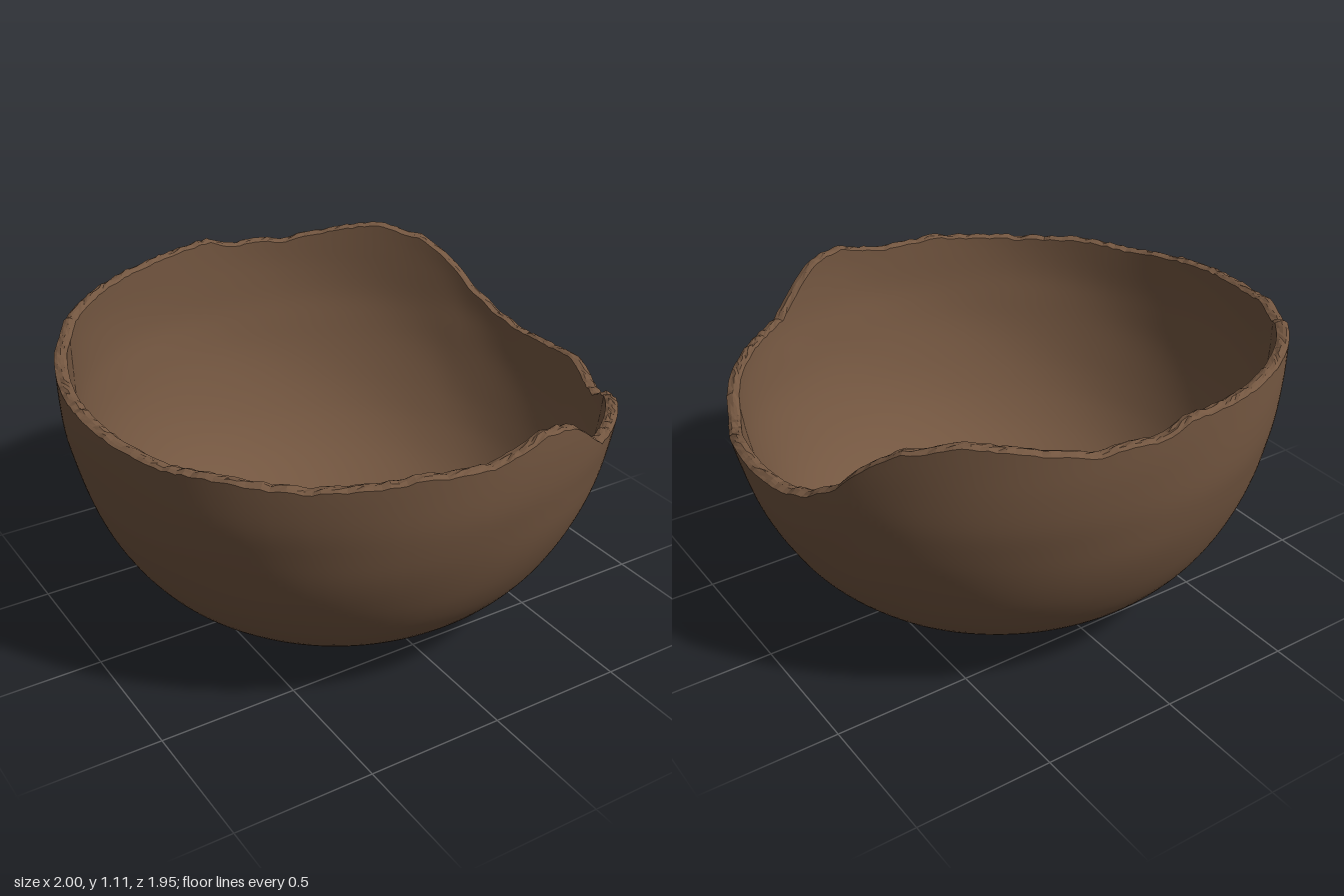
import * as THREE from 'three';

const N = 240;          // segments around
const WALL = 0.045;     // wall thickness

// Outer wall profile (radius, height), from the base centre up to the tallest rim
const profile = new THREE.CatmullRomCurve3([
  [0, 0.003], [0.2, 0.004], [0.34, 0.02], [0.47, 0.055], [0.6, 0.12], [0.71, 0.2], [0.8, 0.3],
  [0.862, 0.4], [0.908, 0.5], [0.943, 0.6], [0.968, 0.7], [0.987, 0.8], [0.997, 0.92],
  [1.0, 1.02], [1.0, 1.15],
].map(([r, y]) => new THREE.Vector3(r, y, 0)));

// Broken rim: height at each angle (degrees from +x towards +z)
const rimAngles = [0, 10, 15, 20, 26, 30, 36, 46, 54, 60, 65, 72, 76, 82, 86, 92, 98, 107, 115, 127, 145,
  155, 165, 180, 195, 204, 212, 217, 235, 255, 268, 275, 281, 287, 294, 303, 310, 316, 322, 328, 335, 342, 349, 360];
const rimHeights = [0.76, 0.77, 0.75, 0.73, 0.735, 0.78, 0.81, 0.83, 0.835, 0.845, 0.9, 0.99, 1.015, 1.02, 0.995,
  0.97, 0.97, 0.98, 0.965, 0.955, 0.965, 0.955, 0.97, 0.99, 1.0, 1.03, 1.02, 1.05, 1.065, 1.075, 1.09, 1.05, 1.06,
  1.04, 1.065, 1.09, 1.105, 1.08, 1.06, 0.99, 0.88, 0.81, 0.77, 0.76];

const hash = (a, b) => {
  const s = Math.sin(a * 127.1 + b * 311.7) * 43758.5453;
  return (s - Math.floor(s)) * 2 - 1;
};

function rimHeight(i) {
  const deg = ((i % N) / N) * 360;
  const k = Math.max(1, rimAngles.findIndex((d) => d > deg));
  const t = (deg - rimAngles[k - 1]) / (rimAngles[k] - rimAngles[k - 1]);
  return THREE.MathUtils.lerp(rimHeights[k - 1], rimHeights[k], t) + 0.004 * hash(i % N, 1);
}

// Curve parameter at which the profile reaches height y
function paramAt(y) {
  let lo = 0, hi = 1;
  for (let k = 0; k < 18; k++) {
    const mid = (lo + hi) / 2;
    if (profile.getPoint(mid).y < y) lo = mid; else hi = mid;
  }
  return lo;
}

const rimParams = Array.from({ length: N }, (_, i) => paramAt(rimHeight(i)));

// Point at column i, fraction s from base to rim, and depth d into the wall (0 outside, 1 inside)
function wallPoint(i, s, d, lift = 0) {
  const a = (i / N) * Math.PI * 2;
  const u = rimParams[i] * s;
  const p = profile.getPoint(u), t = profile.getTangent(u);
  const bumps = 0.003 * Math.sin(5 * a + 9 * s) * Math.sin(11 * s + 2 * a) * s;
  let r = s === 0 ? 0 : Math.max(0, p.x - t.y * WALL * d + bumps);
  r *= 1 + 0.016 * Math.max(0, Math.cos(a)) ** 2;
  return [r * Math.cos(a), p.y + t.x * WALL * d + lift, r * Math.sin(a) * 0.977];
}

// Skin a stack of closed rings; row(j) gives a function from column to point
function skin(rows, pointAt) {
  const pos = [], index = [];
  for (let j = 0; j < rows; j++) for (let i = 0; i < N; i++) pos.push(...pointAt(i, j));
  for (let j = 0; j < rows - 1; j++) {
    for (let i = 0; i < N; i++) {
      const n = (i + 1) % N;
      const a = j * N + i, b = j * N + n, c = a + N, d = b + N;
      index.push(a, c, b, b, c, d);
    }
  }
  const g = new THREE.BufferGeometry();
  g.setAttribute('position', new THREE.Float32BufferAttribute(pos, 3));
  g.setIndex(index);
  g.computeVertexNormals();
  return g;
}

export function createModel() {
  const group = new THREE.Group();
  group.name = 'brokenBowl';
  const clay = new THREE.MeshStandardMaterial({ color: 0x735640 });
  clay.name = 'brownClay';

  const add = (name, geometry) => {
    const mesh = new THREE.Mesh(geometry, clay);
    mesh.name = name;
    group.add(mesh);
  };

  const R = 48;
  // Outside wall and base
  add('outerWall', skin(R + 1, (i, j) => wallPoint(i, j / R, 0)));
  // Inside wall and floor
  add('innerWall', skin(R + 1, (i, j) => wallPoint(i, 1 - j / R, 1)));
  // Rough fractured edge joining the two walls
  const E = 4;
  add('brokenRim', skin(E + 1, (i, j) => {
    const d = j / E;
    const inside = j > 0 && j < E;
    return wallPoint(i, 1, d, inside ? 0.008 * Math.sin(Math.PI * d) + 0.004 * hash(i, j + 5) : 0);
  }).toNonIndexed());
  group.children[2].geometry.computeVertexNormals();
  return group;
}
